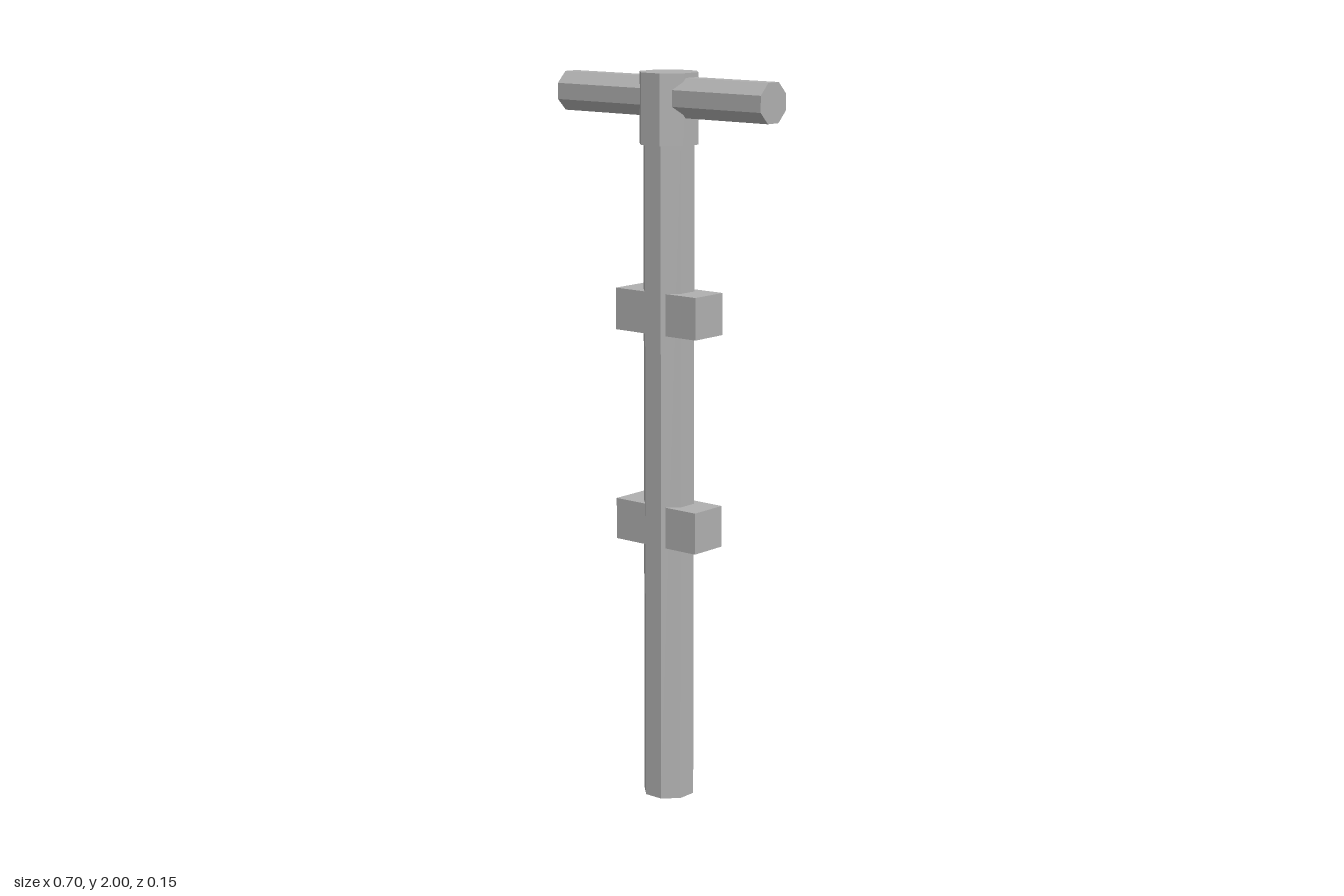
import * as THREE from 'three';

const metal = new THREE.MeshStandardMaterial({ color: 0xb0b0b0, flatShading: true });
metal.name = 'greyMetal';

function addPart(group, name, geometry, x, y, z) {
  const mesh = new THREE.Mesh(geometry, metal);
  mesh.name = name;
  mesh.position.set(x, y, z);
  group.add(mesh);
  return mesh;
}

// Eight-sided bar with flats facing the axes, sized by its width across flats
function octagonBar(width, length) {
  const radius = width / 2 / Math.cos(Math.PI / 8);
  return new THREE.CylinderGeometry(radius, radius, length, 8).rotateY(Math.PI / 8);
}

export function createModel() {
  const group = new THREE.Group();
  group.name = 'handledPole';

  // Shaft and the thicker collar at its top
  addPart(group, 'shaft', octagonBar(0.132, 1.85), 0, 0.925, 0);
  addPart(group, 'collar', octagonBar(0.152, 0.19), 0, 1.905, 0);

  // Crossbar through the collar
  addPart(group, 'crossbar', octagonBar(0.105, 0.7).rotateZ(Math.PI / 2), 0, 1.935, 0);

  // Two pairs of square lugs on the sides of the shaft
  for (const [level, y] of [['lower', 0.775], ['upper', 1.36]]) {
    for (const [side, sign] of [['Left', 1], ['Right', -1]]) {
      addPart(group, `${level}${side}Lug`, new THREE.BoxGeometry(0.114, 0.114, 0.114), sign * 0.083, y, 0);
    }
  }
  return group;
}
